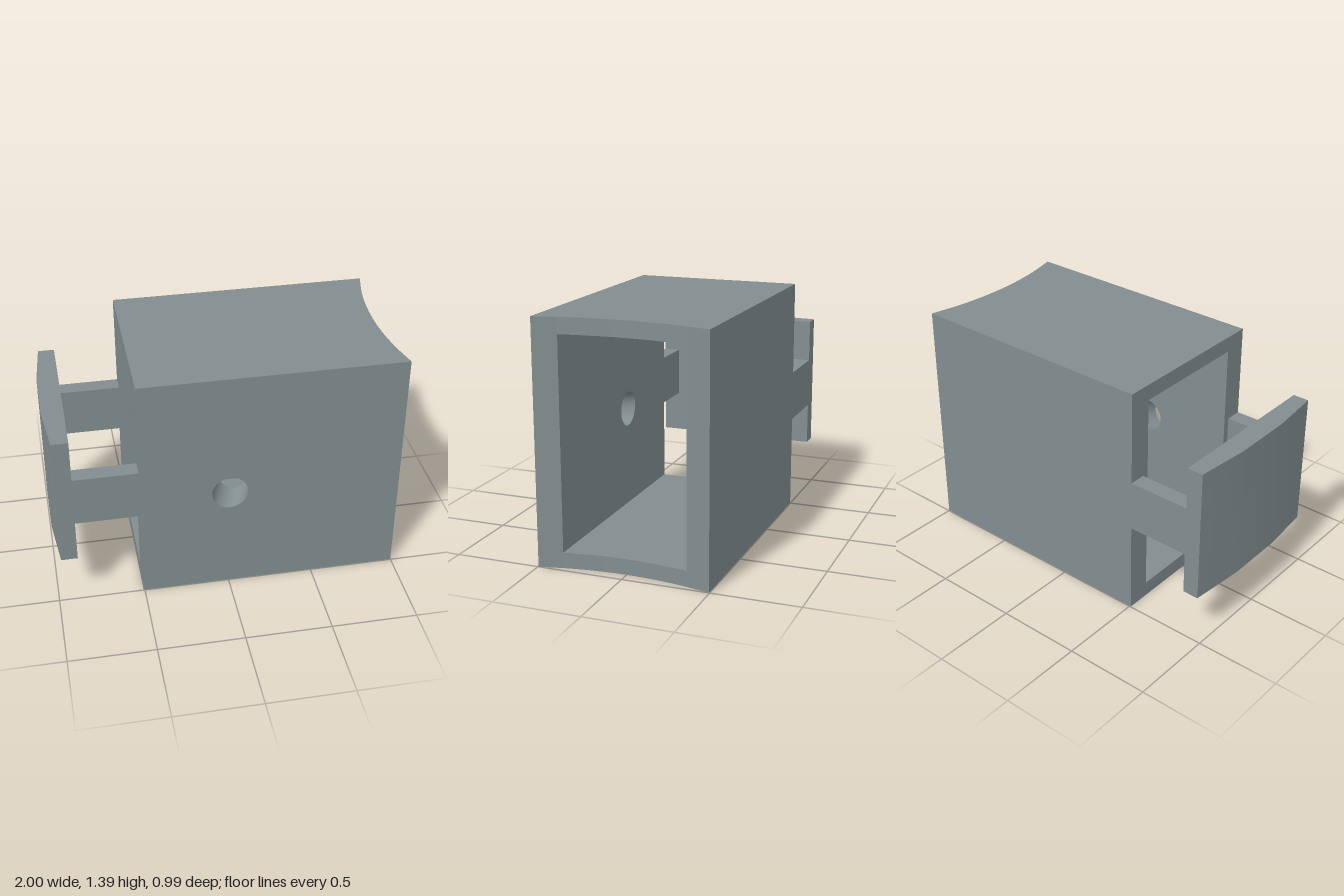
import * as THREE from 'three';
import { toCreasedNormals } from 'three/addons/utils/BufferGeometryUtils.js';

const HALF = 0.497, INNER = 0.36, HEIGHT = 1.395, BACK = -0.507;
const HOLE = { x: 0.006, y: 0.643, r: 0.103 };

// Concave end of the housing: x as a function of z
const endX = z => 0.932 + 0.068 * (z / HALF) ** 2;

export function createModel() {
  const model = new THREE.Group();
  const material = new THREE.MeshStandardMaterial({ color: 0x828d8f });

  function add(name, geometry) {
    const mesh = new THREE.Mesh(toCreasedNormals(geometry, 0.5), material);
    mesh.name = name;
    model.add(mesh);
  }

  // Upright prism from a plan outline of [x, z] points
  function prism(name, points, y0, y1) {
    const shape = new THREE.Shape(points.map(([x, z]) => new THREE.Vector2(x, -z)));
    const geometry = new THREE.ExtrudeGeometry(shape, { depth: y1 - y0, bevelEnabled: false });
    add(name, geometry.rotateX(-Math.PI / 2).translate(0, y0, 0));
  }

  // Side wall: slanted end follows the concave curve, hole leans as it goes inward
  function wall(name, z0, withHole) {
    const depth = HALF - INNER;
    const shape = new THREE.Shape([[BACK, 0], [1, 0], [1, HEIGHT], [BACK, HEIGHT]]
      .map(p => new THREE.Vector2(...p)));
    if (withHole) shape.holes.push(new THREE.Path().absarc(HOLE.x, HOLE.y, HOLE.r, 0, Math.PI * 2, true));
    const geometry = new THREE.ExtrudeGeometry(shape, { depth, bevelEnabled: false, curveSegments: 24 });
    const pos = geometry.attributes.position;
    for (let i = 0; i < pos.count; i++) {
      const x = pos.getX(i), y = pos.getY(i), z = pos.getZ(i);
      if (x > 0.9) pos.setX(i, endX(z0 + z));
      else if (Math.hypot(x - HOLE.x, y - HOLE.y) < 0.2) {
        const lean = 1 - z / depth;
        pos.setXY(i, x + 0.06 * lean, y + 0.036 * lean);
      }
      pos.setZ(i, z0 + z);
    }
    add(name, geometry);
  }

  // Hollow housing
  wall('frontWall', INNER, true);
  wall('backWall', -HALF, false);
  const slab = [[BACK, -INNER], [BACK, INNER]];
  for (let i = 0; i <= 16; i++) {
    const z = INNER - (2 * INNER * i) / 16;
    slab.push([endX(z), z]);
  }
  prism('floor', slab, 0, 0.09);
  prism('roof', slab, 1.303, HEIGHT);

  // Pair of arms carrying the end plate
  for (const side of [1, -1]) {
    const arm = new THREE.BoxGeometry(0.368, 0.297, 0.098);
    add(side > 0 ? 'frontArm' : 'backArm', arm.translate(-0.691, 0.6985, side * 0.448));
  }

  // End plate with a bowed outer face
  prism('endPlate', [
    [-0.875, -HALF], [-0.97, -HALF], [-1, -0.18],
    [-1, 0.18], [-0.97, HALF], [-0.875, HALF],
  ], 0.299, 1.096);

  return model;
}
